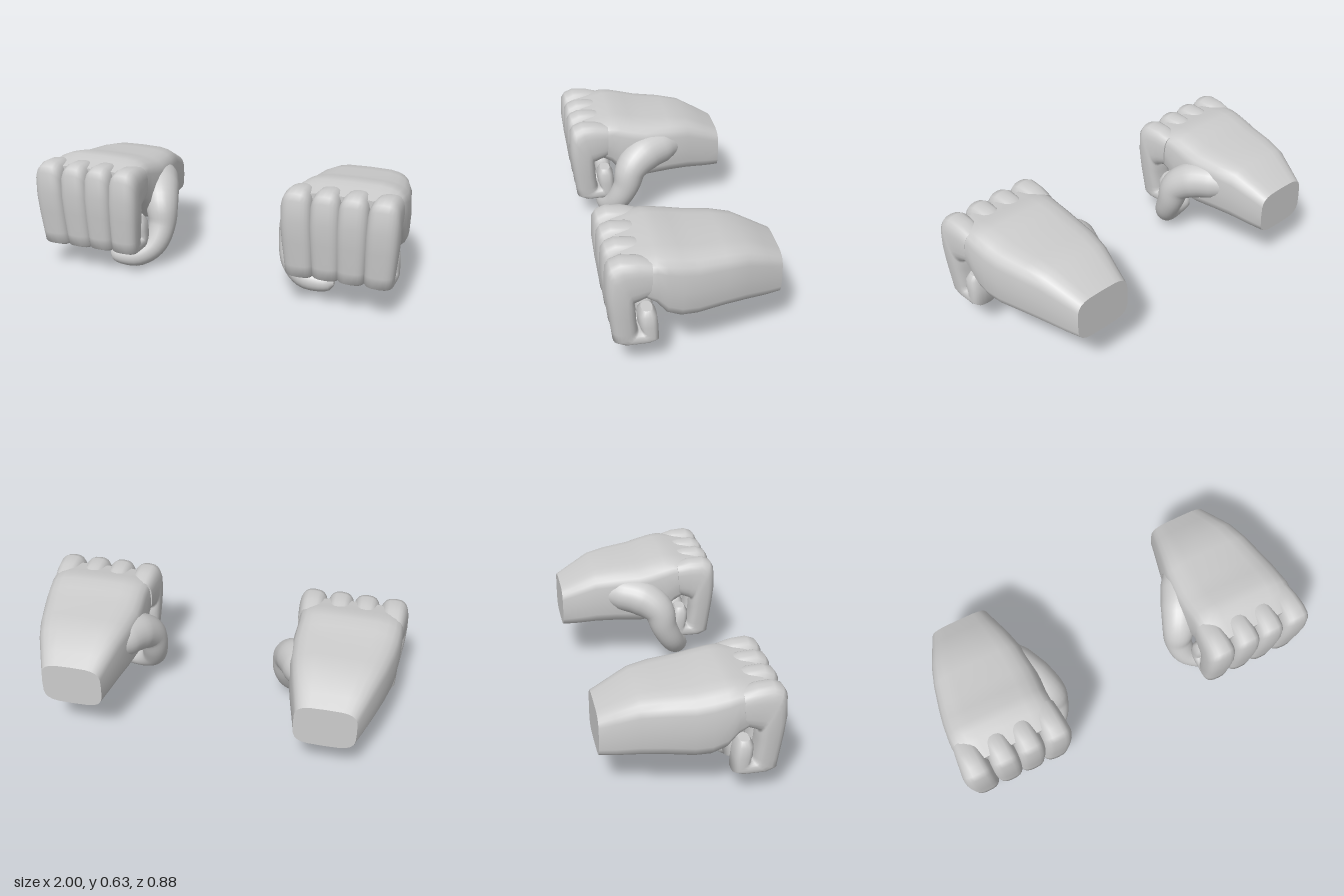
import * as THREE from 'three';

const material = new THREE.MeshStandardMaterial({ color: 0xcccccc, roughness: 0.8 });
const SIDES = 24;
const V = (x, y, z) => new THREE.Vector3(x, y, z);

// Closed superellipse ring; u x v points along the direction of travel.
function ring(center, u, v, power) {
  const soft = (t) => Math.sign(t) * Math.pow(Math.abs(t), 2 / power);
  return Array.from({ length: SIDES }, (_, i) => {
    const a = (i / SIDES) * Math.PI * 2;
    return center.clone().addScaledVector(u, soft(Math.cos(a))).addScaledVector(v, soft(Math.sin(a)));
  });
}

// Skin over rings, with flat caps at both ends; mirrored in x when side is -1.
function loft(rings, side) {
  const points = rings.flat();
  const index = [];
  const last = rings.length - 1;
  for (let r = 0; r < last; r++) {
    for (let j = 0; j < SIDES; j++) {
      const a = r * SIDES + j, b = r * SIDES + ((j + 1) % SIDES);
      index.push(a, b, b + SIDES, a, b + SIDES, a + SIDES);
    }
  }
  for (const end of [0, last]) {
    const start = points.length;
    const center = V(0, 0, 0);
    rings[end].forEach((p) => { points.push(p.clone()); center.addScaledVector(p, 1 / SIDES); });
    points.push(center);
    for (let j = 0; j < SIDES; j++) {
      const a = start + j, b = start + ((j + 1) % SIDES);
      index.push(start + SIDES, ...(end === 0 ? [b, a] : [a, b]));
    }
  }
  const geometry = new THREE.BufferGeometry().setFromPoints(points);
  geometry.scale(side, 1, 1);
  geometry.setIndex(side < 0 ? index.reverse() : index);
  geometry.computeVertexNormals();
  return geometry;
}

// Palm from wrist to knuckles: z, x min, x max, y min, y max
const PALM = [
  [-0.44, 0.505, 0.83, 0.237, 0.475],
  [-0.36, 0.485, 0.862, 0.24, 0.517],
  [-0.25, 0.455, 0.905, 0.252, 0.572],
  [-0.14, 0.43, 0.938, 0.256, 0.59],
  [0.0, 0.415, 0.968, 0.246, 0.602],
  [0.08, 0.415, 0.98, 0.252, 0.62],
  [0.15, 0.42, 0.985, 0.285, 0.633],
  [0.2, 0.42, 0.985, 0.355, 0.633],
  [0.25, 0.42, 0.98, 0.388, 0.622],
  [0.35, 0.43, 0.97, 0.4, 0.605],
];

function palm(side) {
  return loft(PALM.map(([z, x0, x1, y0, y1]) => ring(
    V((x0 + x1) / 2, (y0 + y1) / 2, z), V((x1 - x0) / 2, 0, 0), V(0, (y1 - y0) / 2, 0), 4,
  )), side);
}

// Curled finger: outer z, outer y, inner z, inner y, width factor
const FINGER = [
  [0.22, 0.605, 0.23, 0.42, 0.8],
  [0.29, 0.625, 0.28, 0.4, 0.9],
  [0.37, 0.63, 0.305, 0.39, 0.96],
  [0.415, 0.612, 0.302, 0.375, 1],
  [0.435, 0.58, 0.3, 0.36, 1.02],
  [0.441, 0.47, 0.298, 0.335, 1.02],
  [0.431, 0.36, 0.297, 0.3, 1],
  [0.415, 0.23, 0.29, 0.235, 0.95],
  [0.408, 0.17, 0.287, 0.222, 0.92],
  [0.36, 0.147, 0.282, 0.217, 0.9],
  [0.23, 0.147, 0.275, 0.22, 0.9],
  [0.185, 0.162, 0.277, 0.232, 0.9],
  [0.19, 0.25, 0.286, 0.255, 0.88],
  [0.197, 0.31, 0.286, 0.31, 0.8],
  [0.215, 0.337, 0.27, 0.337, 0.5],
];

function finger(side, x, halfWidth, lean, lift) {
  return loft(FINGER.map(([oz, oy, iz, iy, w]) => ring(
    // outer fingers lean toward the middle as they go down
    V(x + lean * Math.max(0, 0.45 - (oy + iy) / 2), (oy + iy) / 2 + lift, (oz + iz) / 2),
    V(halfWidth * w, 0, 0), V(0, (oy - iy) / 2, (oz - iz) / 2), 2.8,
  )), side);
}

// Thumb: x, y, z, radius, from its base in the palm to the tip below the fingers
const THUMB = [
  [0.54, 0.44, -0.2, 0.07],
  [0.49, 0.44, -0.09, 0.1],
  [0.44, 0.42, 0.02, 0.105],
  [0.395, 0.36, 0.1, 0.09],
  [0.38, 0.26, 0.13, 0.075],
  [0.405, 0.15, 0.185, 0.065],
  [0.48, 0.095, 0.228, 0.06],
  [0.56, 0.085, 0.24, 0.052],
  [0.615, 0.09, 0.24, 0.045],
  [0.642, 0.092, 0.24, 0.015],
];

function thumb(side) {
  const path = new THREE.CatmullRomCurve3(THUMB.map(([x, y, z]) => V(x, y, z)));
  const steps = 36;
  const frames = path.computeFrenetFrames(steps);
  const rings = [];
  for (let i = 0; i <= steps; i++) {
    const t = path.getUtoTmapping(i / steps) * (THUMB.length - 1);
    const k = Math.min(Math.floor(t), THUMB.length - 2);
    const radius = THREE.MathUtils.lerp(THUMB[k][3], THUMB[k + 1][3], t - k);
    rings.push(ring(path.getPointAt(i / steps), frames.normals[i].clone().multiplyScalar(radius),
      frames.binormals[i].clone().multiplyScalar(radius), 2));
  }
  return loft(rings, side);
}

function hand(side, name) {
  const group = new THREE.Group();
  group.name = name;
  const add = (part, geometry) => {
    const mesh = new THREE.Mesh(geometry, material);
    mesh.name = part;
    group.add(mesh);
  };
  add('palm', palm(side));
  add('thumb', thumb(side));
  // x, half width, lean, lift
  add('indexFinger', finger(side, 0.477, 0.08, 0.06, 0));
  add('middleFinger', finger(side, 0.626, 0.077, 0.02, 0.003));
  add('ringFinger', finger(side, 0.767, 0.077, -0.02, 0.002));
  add('littleFinger', finger(side, 0.918, 0.08, -0.06, 0));
  return group;
}

export function createModel() {
  const model = new THREE.Group();
  model.name = 'pairOfFists';
  const left = hand(1, 'leftHand');
  const right = hand(-1, 'rightHand');
  right.position.y = -0.03; // this fist sits slightly lower
  model.add(left, right);
  return model;
}
